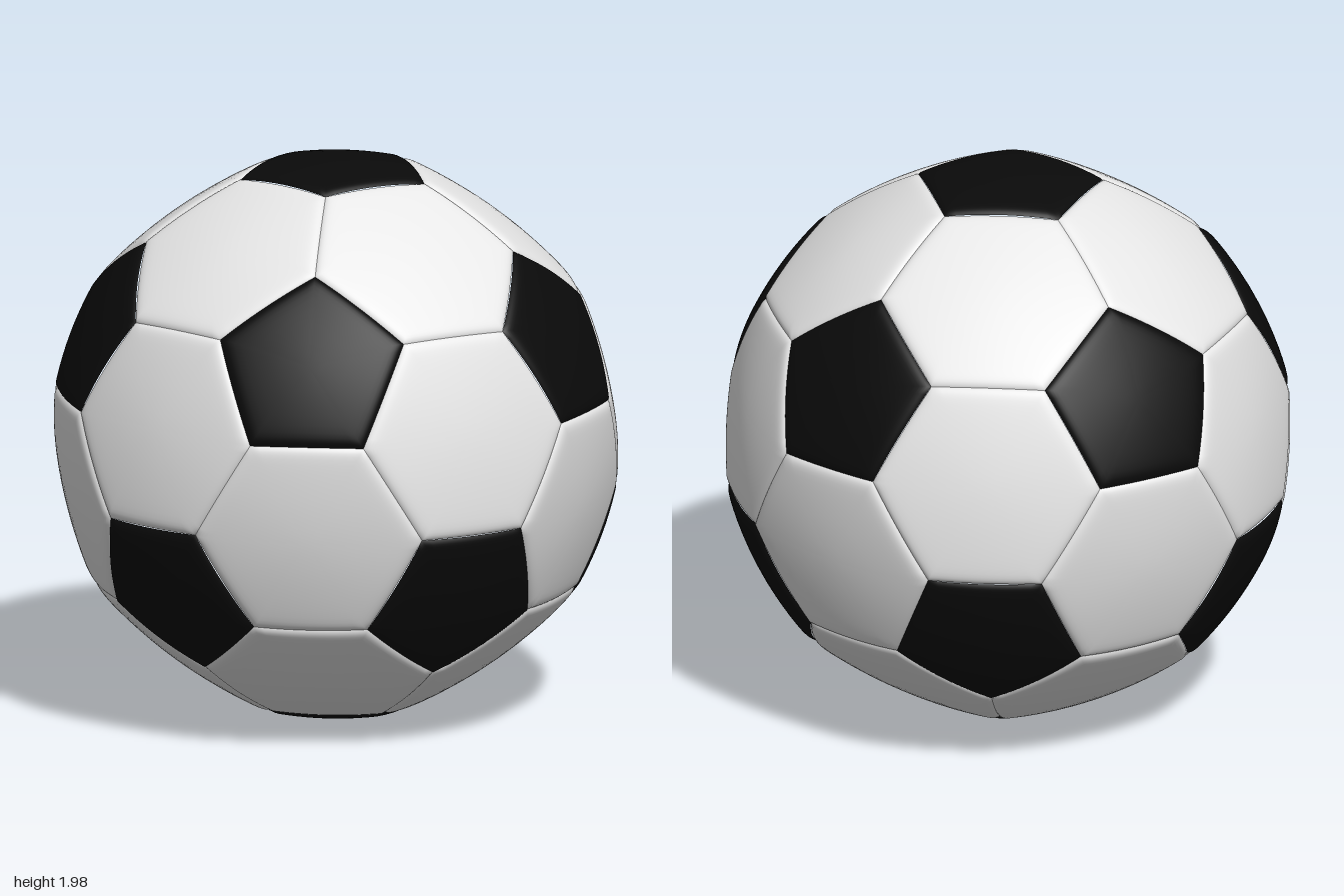
import * as THREE from 'three';

const RIM = 1.004;      // radius at the panel corners
const GROOVE = 0.016;   // seam depth
const SOFT = 0.016;     // seam rounding width
const SEGS = 12;        // points along each panel edge
// ring positions from panel centre to seam, packed towards the seam
const RINGS = [0.15, 0.3, 0.45, 0.6, 0.72, 0.81, 0.87, 0.91, 0.94, 0.962, 0.98, 0.992, 1];

// Icosahedron corners with a pole on y
function icosahedronCorners() {
  const corners = [new THREE.Vector3(0, 1, 0), new THREE.Vector3(0, -1, 0)];
  const y = 1 / Math.sqrt(5), r = 2 / Math.sqrt(5);
  for (let i = 0; i < 5; i++) {
    const a = (i * 2 * Math.PI) / 5, b = a + Math.PI / 5;
    corners.push(new THREE.Vector3(r * Math.cos(a), y, r * Math.sin(a)));
    corners.push(new THREE.Vector3(r * Math.cos(b), -y, r * Math.sin(b)));
  }
  return corners;
}

// Sort corners counter-clockwise as seen from outside
function sortAround(points, centre) {
  const n = centre.clone().normalize();
  const u = points[0].clone().sub(centre).normalize();
  const v = n.clone().cross(u);
  const angle = (p) => {
    const d = p.clone().sub(centre);
    return Math.atan2(d.dot(v), d.dot(u));
  };
  return points.slice().sort((p, q) => angle(p) - angle(q));
}

// Padded panel: flat polygon pushed out towards the ball, sinking at the seam
function panelGeometry(points, flatten) {
  const centre = new THREE.Vector3();
  points.forEach((p) => centre.addScaledVector(p, 1 / points.length));
  const corners = sortAround(points, centre);
  const sides = corners.length, count = sides * SEGS;
  const outer = corners[0].distanceTo(centre);
  const apothem = outer * Math.cos(Math.PI / sides);
  const positions = [], index = [];

  const addPoint = (flat, s) => {
    const rho = flat.distanceToSquared(centre) / (outer * outer);
    const seam = GROOVE * Math.exp(-(apothem * (1 - s)) / SOFT);
    const r = RIM - flatten * (1 - rho) - seam;
    positions.push(...flat.clone().setLength(r).toArray());
  };

  addPoint(centre, 0);
  RINGS.forEach((s, k) => {
    for (let i = 0; i < count; i++) {
      const side = Math.floor(i / SEGS);
      const edge = corners[side].clone().lerp(corners[(side + 1) % sides], (i % SEGS) / SEGS);
      addPoint(centre.clone().lerp(edge, s), s);
      const j = (i + 1) % count, b = 1 + k * count, a = b - count;
      if (k === 0) index.push(0, b + i, b + j);
      else index.push(a + i, b + i, b + j, a + i, b + j, a + j);
    }
  });

  const geometry = new THREE.BufferGeometry();
  geometry.setAttribute('position', new THREE.Float32BufferAttribute(positions, 3));
  geometry.setIndex(index);
  geometry.computeVertexNormals();
  return geometry;
}

export function createModel() {
  const black = new THREE.MeshStandardMaterial({ color: 0x0a0a0a });
  black.name = 'black';
  const white = new THREE.MeshStandardMaterial({ color: 0xe7e7e7 });
  white.name = 'white';

  const ball = new THREE.Group();
  ball.name = 'ball';
  const addPanel = (name, points, flatten, material) => {
    const mesh = new THREE.Mesh(panelGeometry(points, flatten), material);
    mesh.name = name;
    mesh.position.y = 1;
    ball.add(mesh);
  };

  const V = icosahedronCorners();
  const R = Math.sqrt(5 + 4 / Math.sqrt(5)) / 3;   // truncated corner radius
  const near = (i, j) => i !== j && V[i].distanceTo(V[j]) < 1.2;
  const cut = (i, j) => V[i].clone().lerp(V[j], 1 / 3).divideScalar(R);

  // Twelve black pentagons, one at each icosahedron corner
  V.forEach((_, i) => {
    const points = [];
    V.forEach((__, j) => { if (near(i, j)) points.push(cut(i, j)); });
    addPanel('pentagonPanel', points, 0.014, black);
  });

  // Twenty white hexagons, one on each icosahedron face
  for (let i = 0; i < 12; i++)
    for (let j = i + 1; j < 12; j++)
      for (let k = j + 1; k < 12; k++)
        if (near(i, j) && near(j, k) && near(i, k)) {
          const points = [cut(i, j), cut(j, i), cut(j, k), cut(k, j), cut(k, i), cut(i, k)];
          addPanel('hexagonPanel', points, 0.038, white);
        }

  return ball;
}
